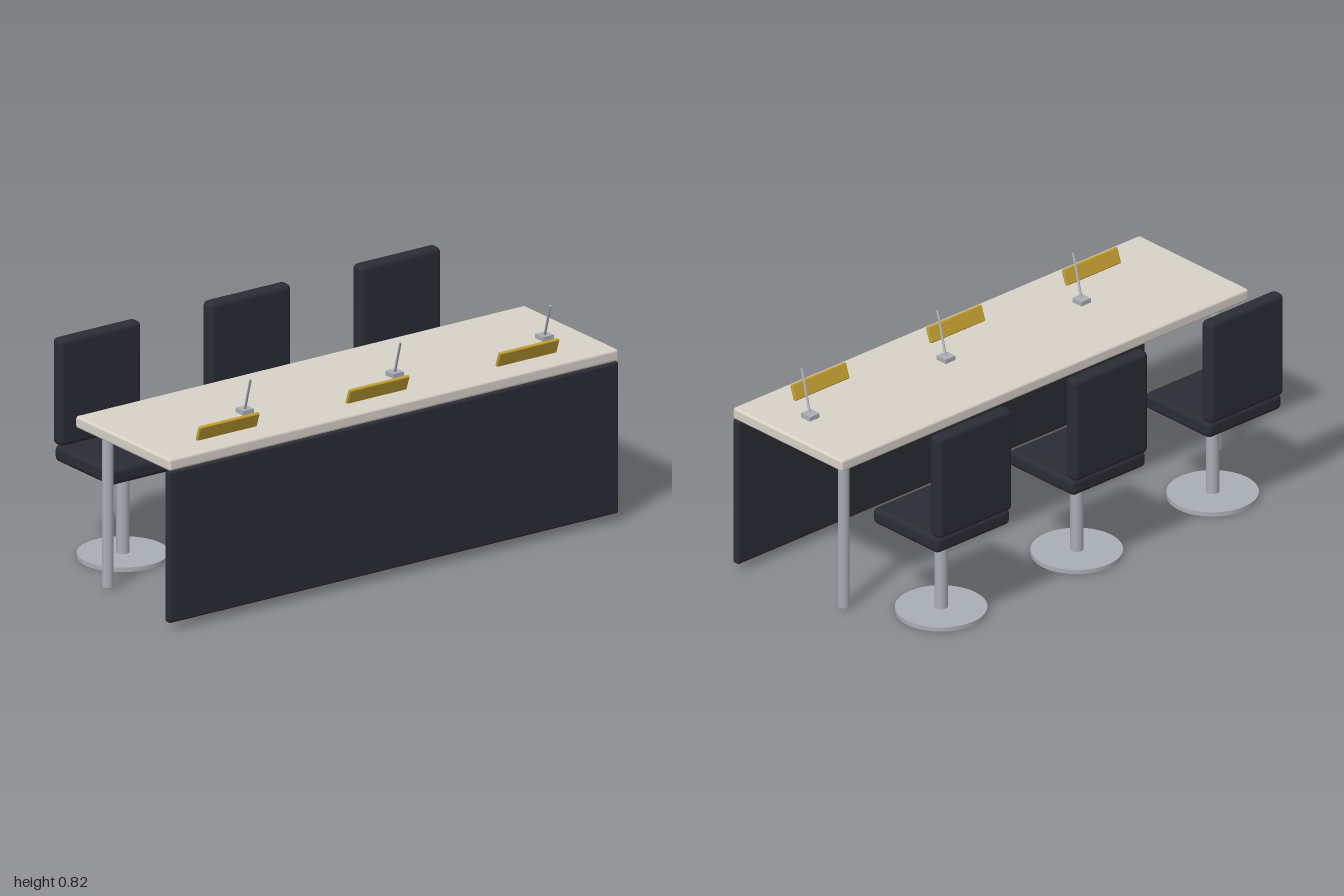
import * as THREE from 'three';
import { RoundedBoxGeometry } from 'three/addons/geometries/RoundedBoxGeometry.js';

const mat = (name, color) => {
  const m = new THREE.MeshStandardMaterial({ color });
  m.name = name;
  return m;
};

export function createModel() {
  const stone = mat('pale tabletop', 0xd8d2c8);
  const dark = mat('dark upholstery', 0x2b2c35);
  const metal = mat('grey metal', 0xa9adb4);
  const gold = mat('brass', 0xc4a031);

  const add = (parent, name, geometry, material, x, y, z) => {
    const mesh = new THREE.Mesh(geometry, material);
    mesh.name = name;
    mesh.position.set(x, y, z);
    parent.add(mesh);
    return mesh;
  };
  const box = (w, h, d, r) => new RoundedBoxGeometry(w, h, d, 3, r);
  const rod = (r, h, sides = 32) => new THREE.CylinderGeometry(r, r, h, sides);

  const model = new THREE.Group();
  model.name = 'panelDesk';

  // Desk: top, front modesty panel and two rear legs
  const desk = new THREE.Group();
  desk.name = 'desk';
  model.add(desk);
  add(desk, 'tabletop', box(2, 0.046, 0.58, 0.01), stone, 0, 0.635, 0.177);
  add(desk, 'frontPanel', box(2, 0.58, 0.032, 0.009), dark, 0, 0.32, 0.452);
  for (const side of [-1, 1]) {
    add(desk, 'tableLeg', rod(0.021, 0.602), metal, side * 0.915, 0.313, -0.03);
  }

  // Three identical places, each with a chair, name plate and microphone
  for (const x of [-0.667, 0, 0.667]) {
    const chair = new THREE.Group();
    chair.name = 'chair';
    chair.position.set(x, 0, 0);
    model.add(chair);
    add(chair, 'chairBase', rod(0.167, 0.017, 48), metal, 0, 0.0085, -0.279);
    add(chair, 'chairPole', rod(0.024, 0.345), metal, 0, 0.187, -0.279);
    add(chair, 'seat', box(0.363, 0.064, 0.347, 0.02), dark, 0, 0.385, -0.281);
    add(chair, 'backrest', box(0.363, 0.41, 0.057, 0.02), dark, 0, 0.62, -0.438);

    // Plate leaning toward the audience
    const plate = add(model, 'namePlate', box(0.267, 0.062, 0.014, 0.005), gold, x, 0.6855, 0.3635);
    plate.rotation.x = 0.34;

    // Microphone: block with a slanted stem
    const mic = new THREE.Group();
    mic.name = 'microphone';
    model.add(mic);
    const mx = x + 0.181;
    add(mic, 'microphoneBase', new THREE.BoxGeometry(0.048, 0.018, 0.048), metal, mx, 0.666, 0.219);
    const from = new THREE.Vector3(mx, 0.668, 0.219);
    const to = new THREE.Vector3(mx - 0.034, 0.816, 0.302);
    const dir = to.clone().sub(from);
    const mid = from.clone().add(to).multiplyScalar(0.5);
    const stem = add(mic, 'microphoneStem', rod(0.0045, dir.length(), 12), metal, mid.x, mid.y, mid.z);
    stem.quaternion.setFromUnitVectors(new THREE.Vector3(0, 1, 0), dir.normalize());
  }

  return model;
}
